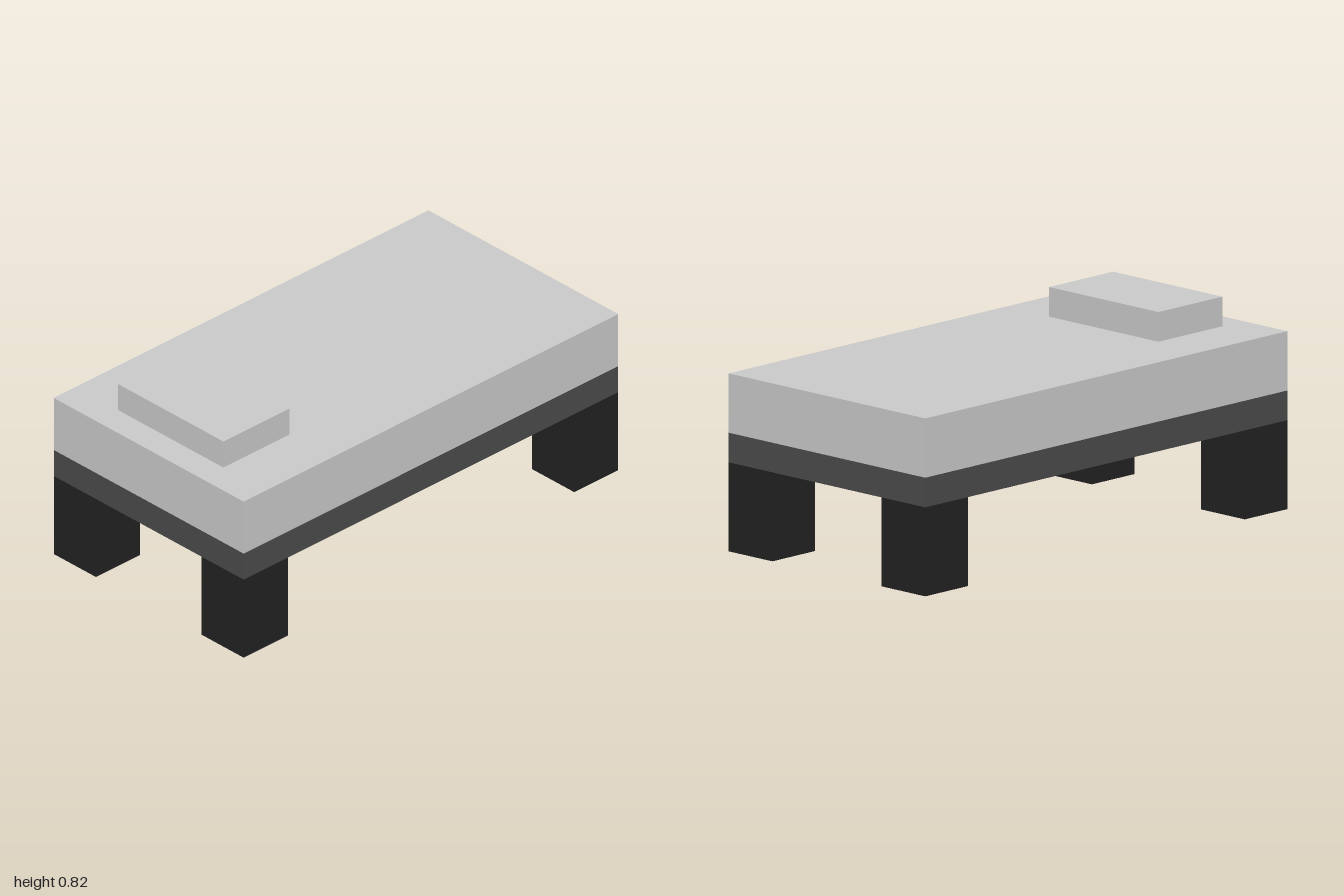
import * as THREE from 'three';

// The bed sits on a regular grid: 34 units make its full length of 2
const U = 2 / 34;

const linen = new THREE.MeshStandardMaterial({ name: 'paleGreyLinen', color: 0xcacaca });
const frameGrey = new THREE.MeshStandardMaterial({ name: 'darkGreyFrame', color: 0x4b4b4b });
const legBlack = new THREE.MeshStandardMaterial({ name: 'blackLeg', color: 0x222222 });

// Box given by its size, the height of its base and its centre in x and z, in grid units
function block(name, material, [w, h, d], base, x = 0, z = 0) {
  const mesh = new THREE.Mesh(new THREE.BoxGeometry(w * U, h * U, d * U), material);
  mesh.name = name;
  mesh.position.set(x * U, (base + h / 2) * U, z * U);
  return mesh;
}

export function createModel() {
  const bed = new THREE.Group();
  bed.name = 'bed';

  // Four square legs flush with the corners
  for (const [side, sx] of [['Left', 1], ['Right', -1]]) {
    for (const [end, sz] of [['front', 1], ['back', -1]]) {
      bed.add(block(`${end}${side}Leg`, legBlack, [4, 6, 4], 0, sx * 7, sz * 15));
    }
  }

  // Frame, mattress and pillow stacked above the legs
  bed.add(block('frame', frameGrey, [18, 2, 34], 6));
  bed.add(block('mattress', linen, [18, 4, 34], 8));
  bed.add(block('pillow', linen, [10, 2, 6], 12, 0, 12));

  return bed;
}
